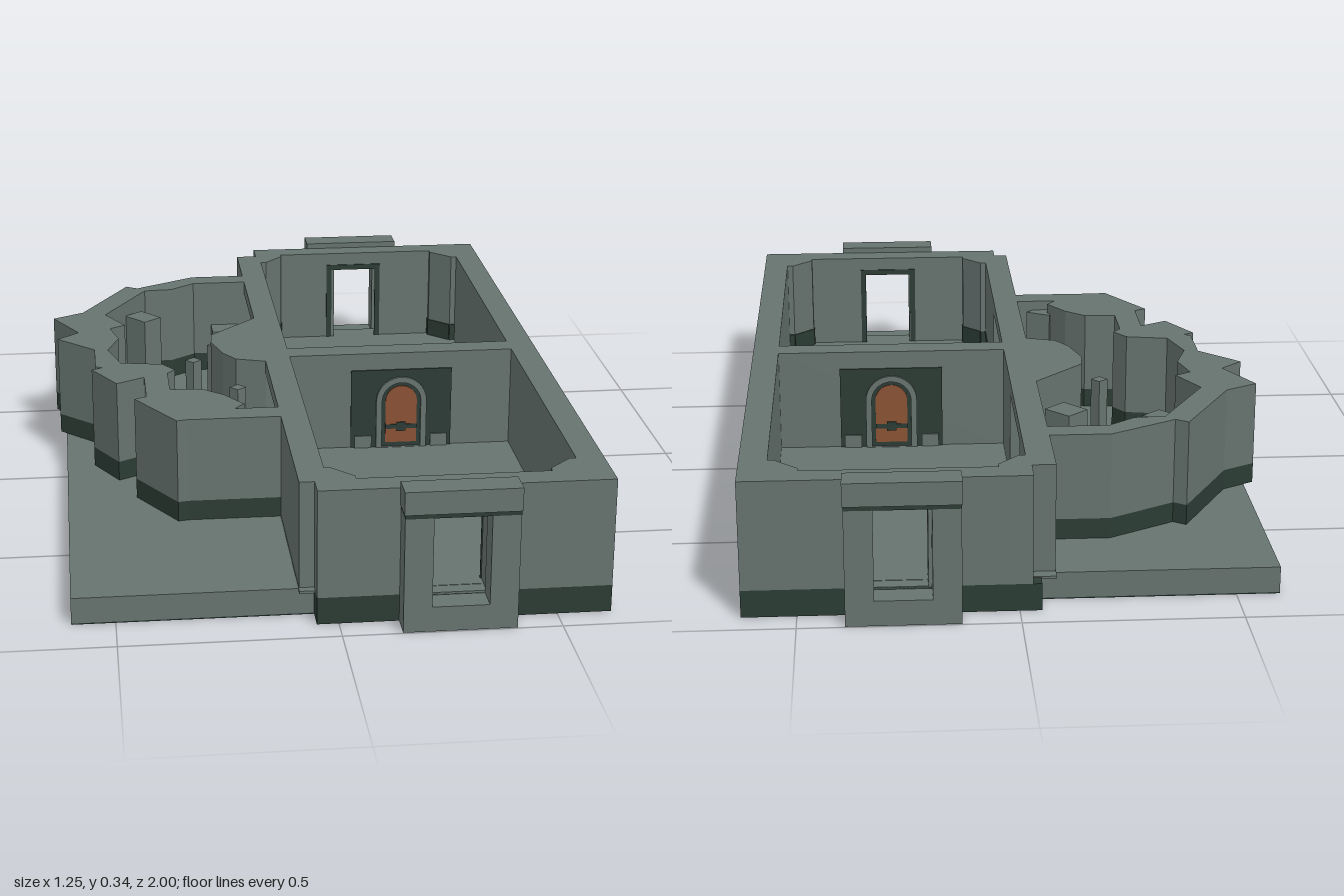
import * as THREE from 'three';

const mat = (name, color, side = THREE.FrontSide) => {
  const m = new THREE.MeshStandardMaterial({ color, side });
  m.name = name;
  return m;
};

export function createModel() {
  const stone = mat('grey stone', 0x66736f);
  const dark = mat('dark green stone', 0x2b3b34);
  const wood = mat('orange wood', 0x8a5233);
  const root = new THREE.Group();
  root.name = 'roofless hall with cave';

  const add = (name, geo, m, parent = root) => {
    const mesh = new THREE.Mesh(geo, m);
    mesh.name = name;
    parent.add(mesh);
    return mesh;
  };
  // box given by its min and max corners
  const box = (name, [x0, y0, z0], [x1, y1, z1], m, parent) =>
    add(name, new THREE.BoxGeometry(x1 - x0, y1 - y0, z1 - z0)
      .translate((x0 + x1) / 2, (y0 + y1) / 2, (z0 + z1) / 2), m, parent);
  // upright prism on a plan of [x, z] points
  const prism = (name, plan, y0, y1, m) => {
    const shape = new THREE.Shape(plan.map(([x, z]) => new THREE.Vector2(x, -z)));
    const geo = new THREE.ExtrudeGeometry(shape, { depth: y1 - y0, bevelEnabled: false });
    return add(name, geo.rotateX(-Math.PI / 2).translate(0, y0, 0), m);
  };
  // thin dark skirting along a plan line
  const skirting = (name, line) => {
    for (let i = 0; i + 1 < line.length; i++) {
      const [ax, az] = line[i], [bx, bz] = line[i + 1];
      const mesh = add(name, new THREE.BoxGeometry(Math.hypot(bx - ax, bz - az), 0.05, 0.006), dark);
      mesh.position.set((ax + bx) / 2, 0.09, (az + bz) / 2);
      mesh.rotation.y = -Math.atan2(bz - az, bx - ax);
    }
  };
  const F = 0.065, T = 0.325, E = 0.935;

  // ground slab, foundation and floors
  box('slabUnderside', [-0.6, 0, -0.875], [-0.05, 0.003, 0.88], dark);
  box('groundSlab', [-0.6, 0.003, -0.875], [-0.05, F, 0.88], stone);
  box('foundation', [-0.05, 0, -E], [0.625, F, E], dark);
  box('roomFloor', [-0.086, F - 0.004, -0.9], [0.57, F + 0.002, 0.9], stone);
  box('threshold', [0.205, F - 0.004, -E], [0.335, F + 0.001, E], stone);

  // inner chamfered corners of the rooms
  const eastBack = [[0.49, -0.875], [0.49, -0.86], [0.545, -0.805], [0.56, -0.805]];
  const eastFront = [[0.56, 0.8], [0.545, 0.8], [0.49, 0.855], [0.49, 0.87]];
  const westFront = [[-0.02, 0.8], [-0.005, 0.8], [0.045, 0.855], [0.045, 0.87]];
  const westBack = [[-0.02, -0.805], [-0.005, -0.805], [0.045, -0.86], [0.045, -0.875]];
  // rock mass between the two cave openings
  const rock = [[-0.02, -0.29], [-0.085, -0.29], [-0.21, -0.16], [-0.215, -0.1], [-0.19, -0.01],
    [-0.16, 0.04], [-0.085, 0.065], [-0.02, 0.065]];

  // walls, split at the two doors and the two cave openings
  prism('eastWallAndPartition', [[0.335, E], [0.625, E], [0.625, -E], [0.335, -E], [0.335, -0.875],
    ...eastBack, [0.56, -0.03], [-0.02, -0.03], ...rock, [-0.02, 0.035], [0.56, 0.035],
    ...eastFront, [0.335, 0.87]], F, T, stone);
  prism('frontWestWall', [[0.205, E], [-0.05, E], [-0.05, 0.88], [-0.085, 0.88], [-0.085, 0.4],
    [-0.02, 0.4], ...westFront, [0.205, 0.87]], F, T, stone);
  prism('backWestWall', [[0.205, -E], [-0.03, -E], [-0.03, -0.87], [-0.085, -0.87], [-0.085, -0.62],
    [-0.02, -0.62], ...westBack, [0.205, -0.875]], F, T, stone);

  // lintels
  box('frontDoorLintel', [0.205, 0.275, 0.87], [0.335, T, E], stone);
  box('backDoorLintel', [0.205, 0.275, -E], [0.335, T, -0.875], stone);
  box('frontCaveLintel', [-0.085, 0.29, 0.065], [-0.02, T, 0.4], stone);
  box('backCaveLintel', [-0.085, 0.29, -0.62], [-0.02, T, -0.29], stone);

  // skirting on the west side and corners
  skirting('rockSkirting', rock);
  skirting('frontCornerSkirting', [[-0.02, 0.4], ...westFront]);
  skirting('backCornerSkirting', [[-0.02, -0.62], ...westBack]);
  skirting('eastFrontSkirting', eastFront);
  skirting('eastBackSkirting', eastBack);

  // cave wall: outer line, then inner line back
  const outer = [[-0.085, -0.68], [-0.23, -0.68], [-0.39, -0.59], [-0.42, -0.61], [-0.545, -0.385],
    [-0.625, -0.34], [-0.56, -0.215], [-0.615, -0.165], [-0.52, -0.07], [-0.52, 0.065], [-0.5, 0.07],
    [-0.53, 0.085], [-0.47, 0.195], [-0.4, 0.155], [-0.4, 0.295], [-0.43, 0.31], [-0.335, 0.47],
    [-0.31, 0.465], [-0.085, 0.465]];
  const inner = [[-0.085, -0.62], [-0.23, -0.62], [-0.295, -0.57], [-0.37, -0.565], [-0.485, -0.36],
    [-0.435, -0.265], [-0.475, -0.24], [-0.455, -0.155], [-0.485, -0.065], [-0.455, 0.04],
    [-0.35, 0.06], [-0.32, 0.105], [-0.34, 0.13], [-0.34, 0.25], [-0.26, 0.255], [-0.21, 0.3],
    [-0.165, 0.37], [-0.19, 0.4], [-0.085, 0.4]];
  const cave = [...outer, ...inner.reverse()];
  prism('caveBase', cave, F, 0.115, dark);
  prism('caveWall', cave, 0.115, T, stone);

  // pillars in the cave: x, z, width, depth, top, turn
  const pillars = [[-0.38, -0.455, 0.06, 0.08, 0.285, 0.7], [-0.16, -0.29, 0.07, 0.08, 0.25, 0.75],
    [-0.26, -0.12, 0.03, 0.03, 0.27, 0.7], [-0.16, 0.1, 0.03, 0.03, 0.27, 0.7],
    [-0.133, -0.587, 0.095, 0.065, 0.2, 0]];
  for (const [x, z, w, d, top, turn] of pillars) {
    const g = new THREE.Group();
    g.name = 'cavePillar';
    g.position.set(x, 0, z);
    g.rotation.y = turn;
    box('pillarBase', [-w / 2, F, -d / 2], [w / 2, 0.115, d / 2], dark, g);
    box('pillarShaft', [-w / 2, 0.115, -d / 2], [w / 2, top, d / 2], stone, g);
    root.add(g);
  }
  const shard = [[-0.17, 0.345], [-0.11, 0.38], [-0.13, 0.4], [-0.185, 0.4]];
  prism('shardBase', shard, F, 0.115, dark);
  prism('shard', shard, 0.115, 0.3, stone);

  // porches at both ends, and arched doors on both faces of the partition
  const arch = (r, y0, spring) => {
    const s = new THREE.Shape();
    s.moveTo(-r, y0);
    s.lineTo(r, y0);
    s.lineTo(r, spring);
    s.absarc(0, spring, r, 0, Math.PI, false);
    s.closePath();
    return s;
  };
  const plate = (name, shape, z, depth, m, parent) => add(name,
    new THREE.ExtrudeGeometry(shape, { depth, bevelEnabled: false, curveSegments: 10 })
      .translate(0, 0, z), m, parent);

  for (const s of [1, -1]) {
    const porch = new THREE.Group();
    porch.name = s > 0 ? 'frontPorch' : 'backPorch';
    porch.position.x = s > 0 ? 0.267 : 0.262;
    porch.rotation.y = s > 0 ? 0 : Math.PI;
    for (const k of [-1, 1]) {
      const xs = [k * 0.065, k * 0.13].sort((a, b) => a - b);
      box('porchColumn', [xs[0], 0, E - 0.002], [xs[1], 0.275, 0.997], stone, porch);
    }
    box('porchStep', [-0.065, 0, E - 0.002], [0.065, 0.06, 0.997], stone, porch);
    box('porchTrim', [-0.13, 0.275, E - 0.002], [0.13, 0.285, 0.997], dark, porch);
    box('porchLintel', [-0.132, 0.285, E - 0.002], [0.132, 0.34, 1], stone, porch);
    // dark frame on the room side
    const zi = s > 0 ? 0.867 : 0.872;
    box('innerFrameTop', [-0.08, 0.275, zi], [0.08, 0.29, zi + 0.004], dark, porch);
    for (const k of [-1, 1])
      box('innerFrameSide', [k * 0.0725 - 0.0075, F, zi], [k * 0.0725 + 0.0075, 0.275, zi + 0.004], dark, porch);
    root.add(porch);

    const door = new THREE.Group();
    door.name = 'archedDoor';
    door.position.set(0.272, 0, s > 0 ? 0.035 : -0.03);
    door.rotation.y = s > 0 ? 0 : Math.PI;
    box('doorPanel', [-0.132, F, -0.002], [0.132, 0.28, 0.004], dark, door);
    const ring = arch(0.066, F, 0.195);
    ring.holes.push(arch(0.051, F + 0.003, 0.195));
    plate('archRing', ring, 0.002, 0.009, stone, door);
    plate('doorLeaf', arch(0.041, 0.08, 0.195), 0.002, 0.005, wood, door);
    box('doorBand', [-0.041, 0.118, 0.004], [0.041, 0.13, 0.009], dark, door);
    box('doorLock', [-0.012, 0.112, 0.004], [0.012, 0.136, 0.011], dark, door);
    for (const k of [-1, 1])
      box('plinth', [k * 0.1 - 0.022, F, 0], [k * 0.1 + 0.022, 0.1, 0.009], stone, door);
    root.add(door);
  }
  return root;
}
